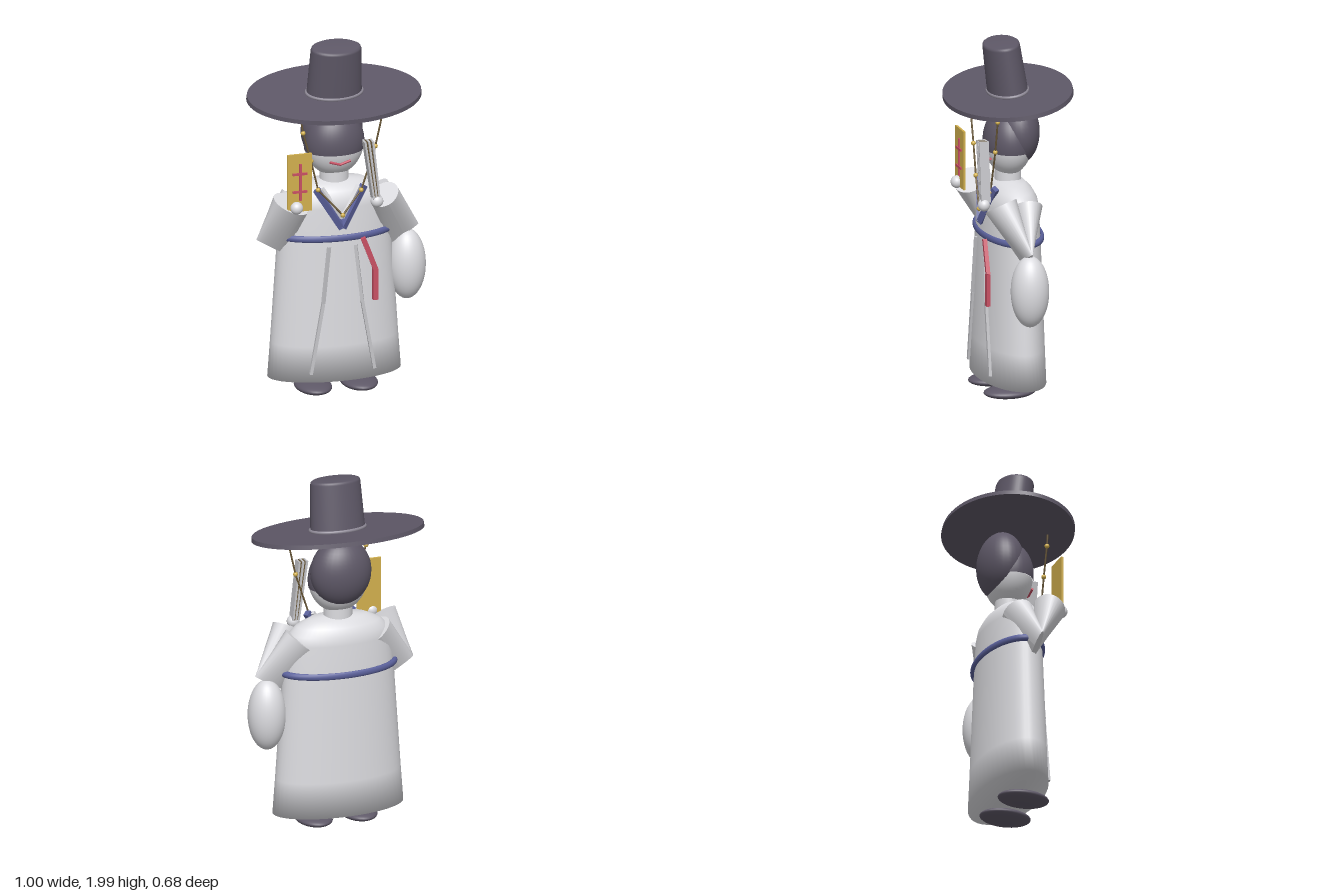
import * as THREE from 'three';

const mat = (name, color, side = THREE.FrontSide) => {
  const m = new THREE.MeshStandardMaterial({ color, side });
  m.name = name;
  return m;
};
const V = (x, y, z) => new THREE.Vector3(x, y, z);
const CX = -0.013; // axis of the body

export function createModel() {
  const white = mat('cloth white', 0xdcdce0, THREE.DoubleSide);
  const dark = mat('charcoal', 0x5e5867);
  const trim = mat('pale trim', 0xc6c6ca);
  const band = mat('grey band', 0x8e8996);
  const blue = mat('indigo', 0x5b619c);
  const red = mat('rose red', 0xc95064);
  const gold = mat('gold', 0xd2b04e);
  const brown = mat('brown cord', 0x6a5838);

  const model = new THREE.Group();
  const add = (name, geo, material, pos = [0, 0, 0], scale = [1, 1, 1], parent = model) => {
    const m = new THREE.Mesh(geo, material);
    m.name = name;
    m.position.set(...pos);
    m.scale.set(...scale);
    parent.add(m);
    return m;
  };
  const ball = (name, material, pos, scale) =>
    add(name, new THREE.SphereGeometry(1, 32, 24), material, pos, scale);
  const lathe = (pts) => new THREE.LatheGeometry(pts.map(p => new THREE.Vector2(...p)), 48);

  // Straight bar between two points
  const bar = (name, a, b, w, d, material, round = false) => {
    const dir = b.clone().sub(a), len = dir.length();
    const geo = round ? new THREE.CylinderGeometry(w, w, len, 12) : new THREE.BoxGeometry(w, len, d);
    const m = add(name, geo, material);
    m.position.copy(a).add(b).multiplyScalar(0.5);
    m.quaternion.setFromUnitVectors(V(0, 1, 0), dir.normalize());
    return m;
  };
  const chain = (name, pts, w, d, material, round) => {
    for (let i = 1; i < pts.length; i++) bar(name, V(...pts[i - 1]), V(...pts[i]), w, d, material, round);
  };

  // Loft between two ellipses, each given by centre and two half axes
  const loft = (c0, u0, v0, c1, u1, v1) => {
    if (u0.clone().cross(c1.clone().sub(c0)).dot(v0) < 0) { v0 = v0.clone().negate(); v1 = v1.clone().negate(); }
    const geo = new THREE.CylinderGeometry(1, 1, 1, 28, 1);
    const p = geo.attributes.position;
    for (let i = 0; i < p.count; i++) {
      const x = p.getX(i), z = p.getZ(i), t = p.getY(i) + 0.5;
      const a = c0.clone().addScaledVector(u0, x).addScaledVector(v0, z);
      const b = c1.clone().addScaledVector(u1, x).addScaledVector(v1, z);
      a.lerp(b, t);
      p.setXYZ(i, a.x, a.y, a.z);
    }
    geo.computeVertexNormals();
    return geo;
  };

  // Robe, oval in plan
  add('robe', lathe([[0, 0.1], [0.375, 0.1], [0.36, 0.3], [0.323, 0.85], [0.303, 1.08],
    [0.285, 1.13], [0.24, 1.17], [0.165, 1.205], [0, 1.225]]), white, [CX, 0, 0], [1, 1, 0.48]);
  const sash = add('sash', new THREE.TorusGeometry(0.32, 0.02, 12, 64), blue, [CX, 0.915, -0.003], [1, 0.5, 1]);
  sash.rotation.x = Math.PI / 2;
  sash.scale.set(1, 0.5, 0.95);

  // Collar, inner collar and skirt seams, one on each side
  for (const s of [-1, 1]) {
    const x = (d) => CX + s * d;
    bar('collar', V(x(0.135), 1.195, 0.118), V(x(0), 0.975, 0.158), 0.035, 0.03, blue);
    bar('innerCollar', V(x(0.105), 1.195, 0.115), V(x(0), 1.03, 0.152), 0.022, 0.024, white);
    chain('skirtSeam', [[x(0.075), 0.87, 0.156], [x(0.11), 0.55, 0.163], [x(0.18), 0.15, 0.163]],
      0.018, 0.016, trim);
    ball('shoe', dark, [x(0.13), 0.04, 0.035], [0.1, 0.033, 0.145]);
  }

  // Ribbon hanging from the sash
  chain('ribbon', [[0.1, 0.91, 0.172], [0.168, 0.73, 0.176], [0.168, 0.55, 0.176]], 0.028, 0.022, red);

  // Sleeves: upper and lower halves meet in a flat edge at the elbow
  const sleeves = [
    { s: -1, cuff: V(-0.295, 1.13, 0.125), r: 0.095, hand: [-0.285, 1.13, 0.2] },
    { s: 1, cuff: V(0.235, 1.13, 0.125), r: 0.075, hand: [0.17, 1.125, 0.2] },
  ];
  for (const { s, cuff, r, hand } of sleeves) {
    const elbow = V(s * 0.375, 0.855, 0.02);
    const edge = V(s * 0.085, 0.05, 0), thin = V(0, 0, 0.015);
    add('forearmSleeve', loft(elbow, edge, thin, cuff, V(s * r, 0.035, 0), V(0, -0.03, 0.085)), white);
    add('upperSleeve', loft(elbow, edge, thin, V(s * 0.22, 1.1, -0.03),
      V(s * 0.075, 0.06, 0), V(0, 0.01, 0.085)), white);
    ball('hand', white, hand, [0.035, 0.035, 0.033]);
  }
  ball('sleevePouch', white, [0.395, 0.68, 0.013], [0.105, 0.2, 0.105]);

  // Neck, face with dark upper half, and hair
  add('neck', new THREE.CylinderGeometry(0.08, 0.08, 0.12, 32), white, [CX, 1.23, 0.0], [1, 1, 0.9]);
  const cut = Math.acos((1.38 - 1.42) / 0.187);
  const headAt = [CX, 1.42, 0], headSize = [0.165, 0.187, 0.13];
  add('face', new THREE.SphereGeometry(1, 40, 16, 0, Math.PI * 2, cut, Math.PI - cut), white, headAt, headSize);
  add('hairCap', new THREE.SphereGeometry(1, 40, 20, 0, Math.PI * 2, 0, cut), dark, headAt,
    headSize.map(v => v + 0.003));
  ball('hair', dark, [CX, 1.475, -0.045], [0.172, 0.19, 0.125]);
  chain('mouth', [[CX - 0.058, 1.343, 0.118], [CX, 1.325, 0.118], [CX + 0.058, 1.343, 0.118]], 0.007, 0, red, true);

  // Wide hat, leaning forward
  const hat = new THREE.Group();
  hat.name = 'hat';
  hat.position.set(CX, 1.693, 0);
  hat.rotation.x = 0.14;
  model.add(hat);
  add('brim', new THREE.CylinderGeometry(0.484, 0.487, 0.024, 64), dark, [0, 0, 0], [1, 1, 0.7], hat);
  add('crown', lathe([[0.155, 0], [0.141, 0.275], [0.137, 0.286], [0.125, 0.292], [0, 0.294]]), dark,
    [0, 0, 0], [1, 1, 0.69], hat);
  const ring = add('hatBand', new THREE.TorusGeometry(0.155, 0.009, 10, 48), band, [0, 0.018, 0], [1, 0.69, 1], hat);
  ring.rotation.x = Math.PI / 2;

  // Beaded chin cord
  const cord = [[-0.24, 1.6], [-0.23, 1.535], [-0.185, 1.37], [-0.145, 1.2], [CX, 1.05],
    [0.1, 1.175], [0.18, 1.42], [0.22, 1.6]].map(([x, y]) => [x, y, y < 1.1 ? 0.165 : 0.138]);
  chain('cord', cord, 0.005, 0, brown, true);
  cord.slice(1).forEach(p => ball('bead', gold, p, [0.013, 0.013, 0.013]));

  // Held card with plain bars
  add('card', new THREE.BoxGeometry(0.14, 0.33, 0.012), gold, [-0.265, 1.27, 0.185]);
  add('cardStem', new THREE.BoxGeometry(0.013, 0.21, 0.009), red, [-0.262, 1.275, 0.194]);
  for (const y of [1.322, 1.22])
    add('cardBar', new THREE.BoxGeometry(0.08, 0.013, 0.009), red, [-0.265, y, 0.195]);

  // Folded fan: pale slats with brown ribs between
  for (let i = 0; i < 5; i++) {
    const o = (i - 2) * 0.011, odd = i % 2;
    bar(odd ? 'fanRib' : 'fanSlat', V(0.165 + o * 0.7, 1.14, 0.192), V(0.122 + o, 1.475, 0.192),
      odd ? 0.005 : 0.011, odd ? 0.048 : 0.054, odd ? brown : trim);
  }
  return model;
}
